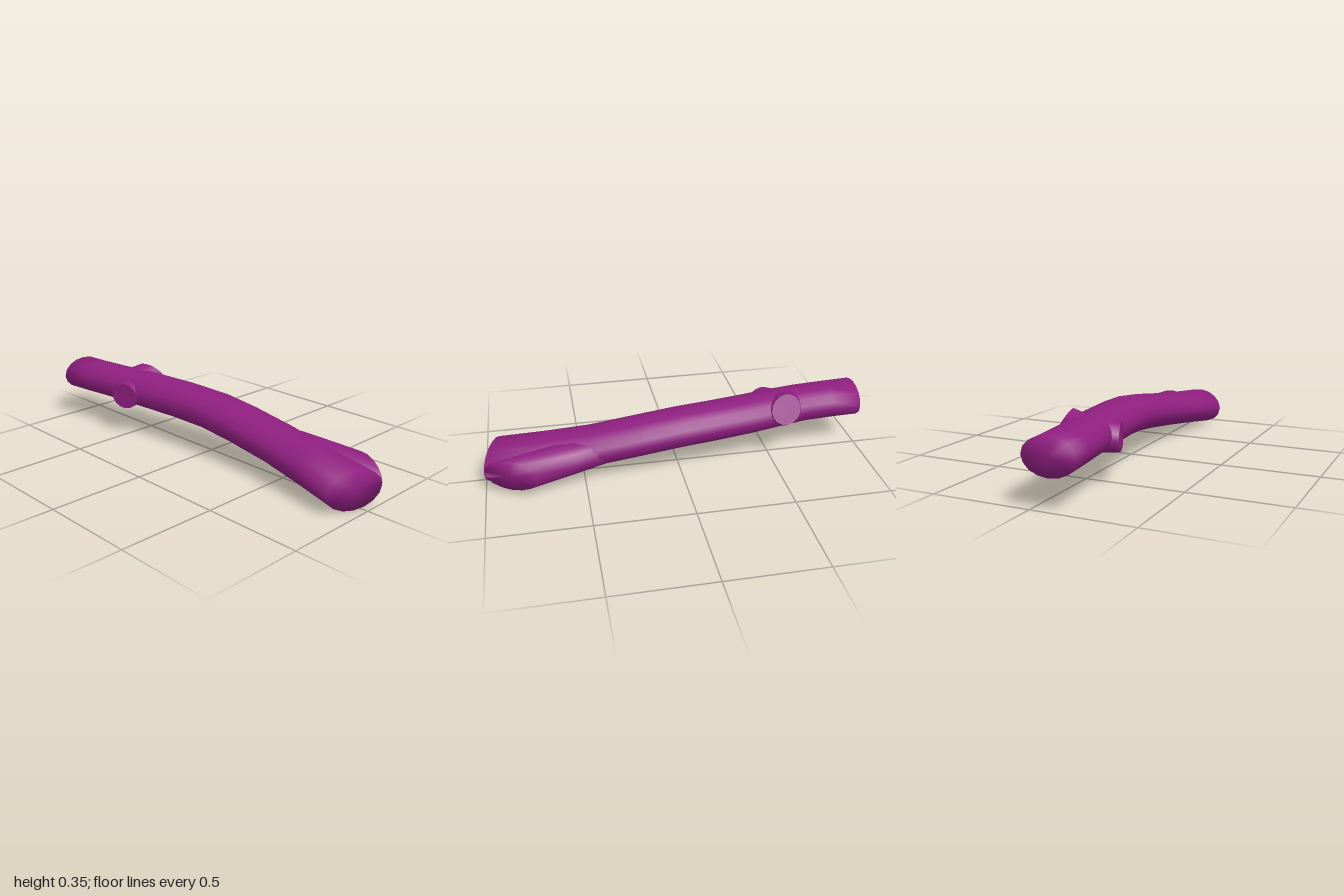
import * as THREE from 'three';
import { toCreasedNormals } from 'three/addons/utils/BufferGeometryUtils.js';

const SIDES = 16;
const material = new THREE.MeshStandardMaterial({ color: 0x8f1f80 });

// Closed loft through elliptical rings [centre, U, V]; U x V points along the loft.
function loft(name, rings, crease) {
  const pos = [], index = [], n = rings.length;
  for (const [c, u, v] of rings) {
    for (let i = 0; i < SIDES; i++) {
      const a = (i / SIDES) * Math.PI * 2, cs = Math.cos(a), sn = Math.sin(a);
      for (let k = 0; k < 3; k++) pos.push(c[k] + u[k] * cs + v[k] * sn);
    }
  }
  pos.push(...rings[0][0], ...rings[n - 1][0]);
  const first = n * SIDES, last = first + 1, end = (n - 1) * SIDES;
  for (let i = 0; i < SIDES; i++) {
    const j = (i + 1) % SIDES;
    for (let r = 0; r < n - 1; r++) {
      const a = r * SIDES + i, b = r * SIDES + j;
      index.push(a, b, b + SIDES, a, b + SIDES, a + SIDES);
    }
    index.push(first, j, i, last, end + i, end + j);
  }
  let geo = new THREE.BufferGeometry();
  geo.setAttribute('position', new THREE.Float32BufferAttribute(pos, 3));
  geo.setIndex(index);
  if (crease) geo = toCreasedNormals(geo, crease);
  else geo.computeVertexNormals();
  const mesh = new THREE.Mesh(geo, material);
  mesh.name = name;
  return mesh;
}

export function createModel() {
  const group = new THREE.Group();
  group.name = 'log';

  // Gently arched trunk: z, left x, right x, bottom y, top y, slant of the cut
  const sections = [
    [-1, -0.23, 0.035, 0.15, 0.33, 0],
    [-0.85, -0.215, 0.04, 0.15, 0.332, 0],
    [-0.7, -0.2, 0.055, 0.152, 0.333, 0],
    [-0.55, -0.18, 0.085, 0.147, 0.333, 0],
    [-0.4, -0.155, 0.11, 0.138, 0.33, 0],
    [-0.2, -0.127, 0.137, 0.13, 0.325, 0],
    [0, -0.113, 0.158, 0.122, 0.315, 0],
    [0.2, -0.108, 0.162, 0.098, 0.292, 0],
    [0.45, -0.115, 0.16, 0.065, 0.255, 0],
    [0.7, -0.145, 0.125, 0.035, 0.225, 0.025],
    [0.95, -0.182, 0.1, 0.002, 0.2, 0.05]
  ];
  group.add(loft('trunk', sections.map(([z, l, r, b, t, s]) => [
    [(l + r) / 2, (b + t) / 2, z],
    [(r - l) / 2, 0, s],
    [0, (t - b) / 2, 0]
  ])));

  // Fork beside the front end, cut obliquely
  group.add(loft('forkStub', [
    [[0.05, 0.165, 0.35], [0.09, 0, -0.02], [0, 0.075, 0]],
    [[0.107, 0.137, 0.62], [0.078, 0, -0.08], [0, 0.08, 0]],
    [[0.163, 0.11, 0.87], [0.063, 0, -0.13], [0, 0.08, 0]]
  ]));

  // Short sawn knots near the back
  group.add(loft('leftKnot', [
    [[-0.05, 0.235, -0.58], [-0.055, 0.085, 0], [0.02, 0, 0.15]],
    [[0.035, 0.27, -0.58], [-0.045, 0.072, 0], [0.02, 0, 0.1]],
    [[0.072, 0.285, -0.57], [-0.042, 0.067, 0], [0.02, 0, 0.085]]
  ], 0.7));
  group.add(loft('rightKnot', [
    [[-0.07, 0.235, -0.56], [0, 0.075, 0], [-0.025, 0, -0.13]],
    [[-0.145, 0.23, -0.52], [0, 0.075, 0], [-0.025, 0, -0.09]],
    [[-0.185, 0.225, -0.5], [0, 0.07, 0], [-0.025, 0, -0.075]]
  ], 0.7));

  return group;
}
